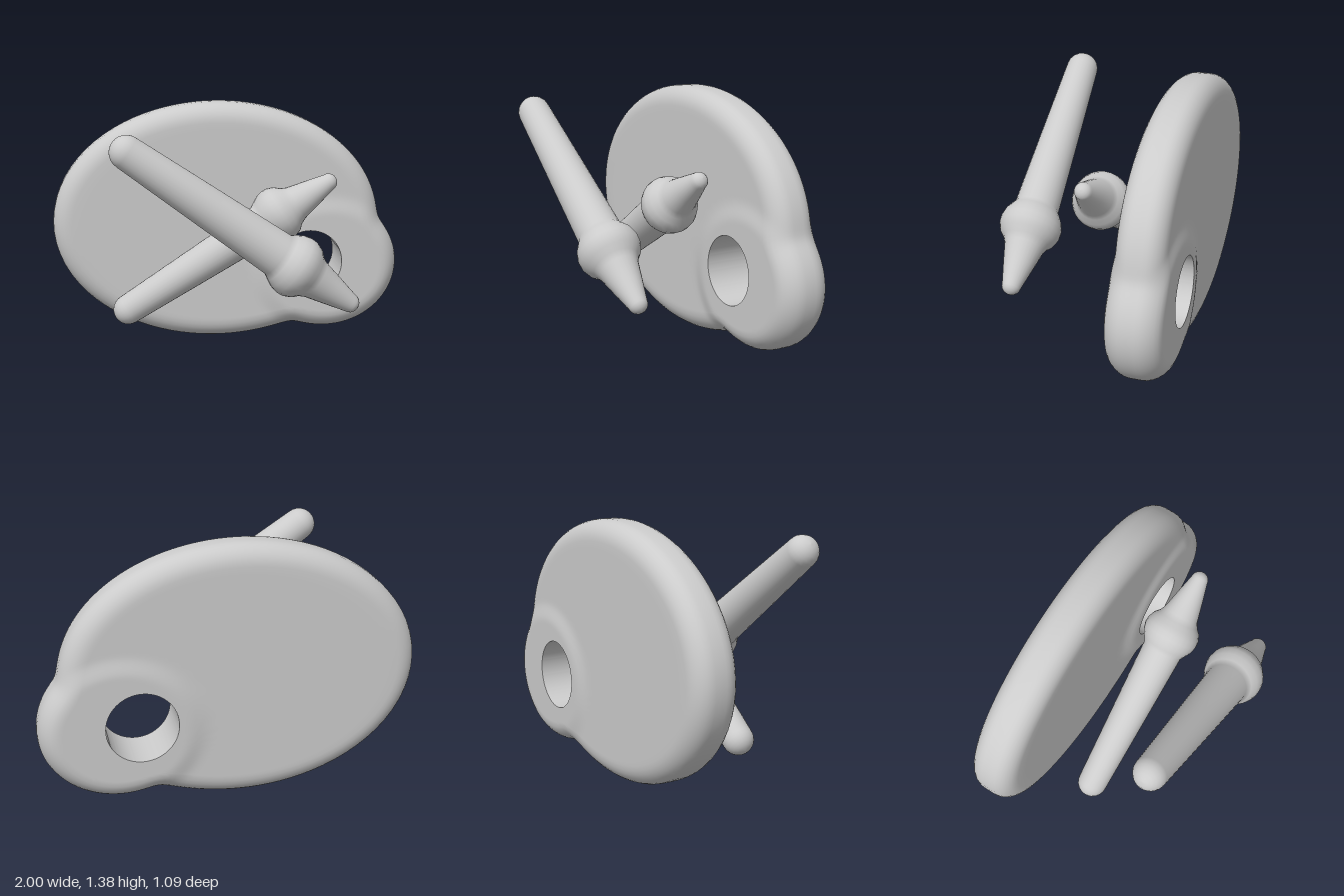
import * as THREE from 'three';
import { toCreasedNormals } from 'three/addons/utils/BufferGeometryUtils.js';

const material = new THREE.MeshStandardMaterial({ color: 0xcccccc });

const HOLE = { x: 0.47, y: 0.45, r: 0.19 };
const BODY = { x: -0.06, y: 0.69, rx: 0.94, ry: 0.69 };
const LOBE = { x: 0.58, y: 0.42, rx: 0.42, ry: 0.38 };

// Distance from the thumb hole's centre to an ellipse, along an angle
function reach(e, angle) {
  const dx = Math.cos(angle) / e.rx, dy = Math.sin(angle) / e.ry;
  const px = (HOLE.x - e.x) / e.rx, py = (HOLE.y - e.y) / e.ry;
  const a = dx * dx + dy * dy, b = px * dx + py * dy, c = px * px + py * py - 1;
  return (-b + Math.sqrt(b * b - a * c)) / a;
}

// The lobe around the thumb hole is slightly thicker than the rest
function halfThickness(x, y) {
  const q = Math.hypot((x - LOBE.x) / LOBE.rx, (y - LOBE.y) / LOBE.ry);
  return 0.1285 + 0.019 * (1 - THREE.MathUtils.smoothstep(q, 0.82, 1.12));
}

// Palette: closed rings running hole -> front face -> rounded rim -> back face -> hole
function paletteGeometry() {
  const N = 144, FACE = 22, RIM = 7, inset = 0.11, flat = 0.03;
  const outline = [], inner = [], hole = [];
  for (let i = 0; i < N; i++) {
    const t = (i / N) * Math.PI * 2;
    const a = reach(BODY, t), b = reach(LOBE, t);
    const r = (a + b + Math.sqrt((a - b) ** 2 + 0.0012)) / 2; // soft union
    const dir = new THREE.Vector2(Math.cos(t), Math.sin(t));
    const at = (s) => new THREE.Vector2(HOLE.x, HOLE.y).addScaledVector(dir, s);
    outline.push(at(r));
    hole.push(at(HOLE.r));
  }
  for (let i = 0; i < N; i++) {
    const d = outline[(i + 1) % N].clone().sub(outline[(i + N - 1) % N]).normalize();
    inner.push(outline[i].clone().add(new THREE.Vector2(-d.y, d.x).multiplyScalar(inset)));
  }

  const half = []; // front half, each ring is [curve A, curve B, blend, height share]
  for (let j = 0; j <= FACE; j++) half.push([hole, inner, (j / FACE) ** 1.3, 1]);
  for (let j = 1; j <= RIM; j++) {
    const u = (j / RIM) * Math.PI / 2;
    half.push([inner, outline, Math.sin(u), Math.cos(u)]);
  }
  const rings = [
    ...half.map((h) => [...h, 1]),
    ...half.slice().reverse().map((h) => [...h, -1]),
  ];

  const positions = [], index = [];
  for (const [from, to, blend, share, side] of rings) {
    for (let i = 0; i < N; i++) {
      const p = from[i].clone().lerp(to[i], blend);
      positions.push(p.x, p.y, side * (flat + (halfThickness(p.x, p.y) - flat) * share));
    }
  }
  for (let j = 0; j < rings.length; j++) {
    const k = (j + 1) % rings.length; // last strip is the hole wall
    for (let i = 0; i < N; i++) {
      const n = (i + 1) % N;
      const a = j * N + i, b = k * N + i, c = k * N + n, d = j * N + n;
      index.push(a, b, c, a, c, d);
    }
  }
  const geometry = new THREE.BufferGeometry();
  geometry.setAttribute('position', new THREE.Float32BufferAttribute(positions, 3));
  geometry.setIndex(index);
  return toCreasedNormals(geometry, 0.8);
}

// Brush: tapered handle, swollen collar and pointed tip turned about one axis
function brushGeometry() {
  const points = [];
  const add = (r, y) => points.push(new THREE.Vector2(r, y));
  for (let i = 0; i <= 6; i++) { // round handle end
    const u = (i / 6) * Math.PI / 2;
    add(0.09 * Math.sin(u), -0.09 * Math.cos(u));
  }
  add(0.107, 0.5);
  add(0.122, 0.955);
  [[0.14, 0.985], [0.16, 1.02], [0.17, 1.06], [0.168, 1.095],
    [0.152, 1.135], [0.125, 1.165], [0.108, 1.2]].forEach(([r, y]) => add(r, y)); // collar
  add(0.082, 1.31);
  for (let i = 0; i <= 5; i++) { // round tip
    const u = (i / 5) * Math.PI / 2;
    add(0.052 * Math.cos(u), 1.432 + 0.05 * Math.sin(u));
  }
  return new THREE.LatheGeometry(points, 28);
}

export function createModel() {
  const model = new THREE.Group();

  const palette = new THREE.Mesh(paletteGeometry(), material);
  palette.name = 'palette';
  palette.position.z = -0.3975;
  model.add(palette);

  // Two crossed brushes in front of the palette
  const geometry = brushGeometry();
  const brushes = [
    { name: 'frontBrush', start: [-0.585, 1.22, 0.37], dir: [1.175, -0.835, 0], scale: 1 },
    { name: 'rearBrush', start: [-0.587, 0.272, -0.02], dir: [1.12, 0.7, 0], scale: 0.92 },
  ];
  for (const { name, start, dir, scale } of brushes) {
    const brush = new THREE.Mesh(geometry, material);
    brush.name = name;
    brush.position.set(...start);
    brush.quaternion.setFromUnitVectors(
      new THREE.Vector3(0, 1, 0), new THREE.Vector3(...dir).normalize());
    brush.scale.setScalar(scale);
    model.add(brush);
  }
  return model;
}
